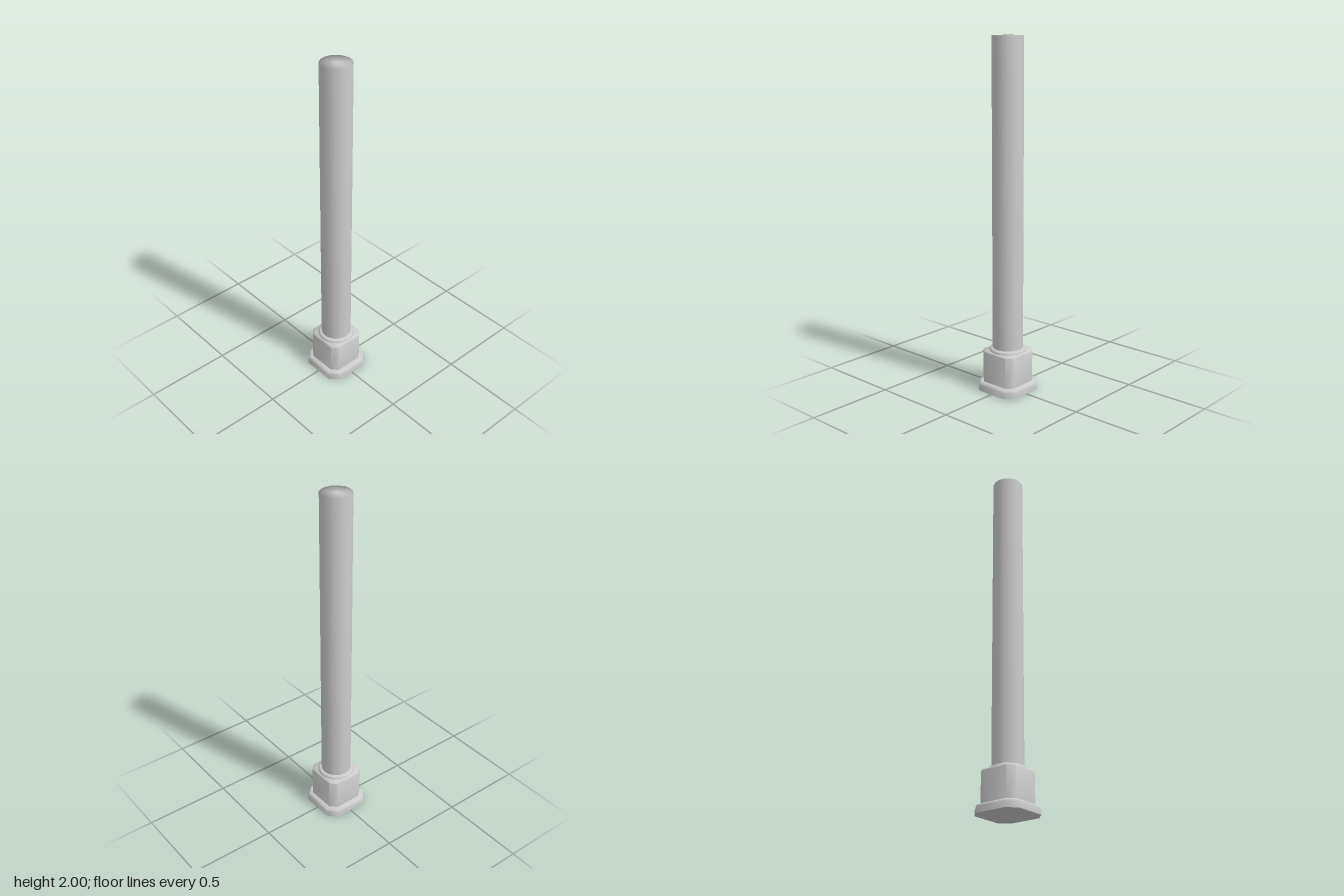
import * as THREE from 'three';
import { toCreasedNormals } from 'three/addons/utils/BufferGeometryUtils.js';

const material = new THREE.MeshStandardMaterial({ color: 0xcccccc });

// Square with cut corners: h = half width, k = half length of the straight edge
const octagon = (h, k) => [[h, k], [k, h], [-k, h], [-h, k], [-h, -k], [-k, -h], [k, -h], [h, -k]];

// Stacks cut-corner squares given as [h, k, y] and closes both ends
function loft(rings) {
  const pos = [], index = [], n = 8;
  for (const [h, k, y] of rings) for (const [x, z] of octagon(h, k)) pos.push(x, y, z);
  const bottom = rings.length * n, top = bottom + 1, last = (rings.length - 1) * n;
  pos.push(0, rings[0][2], 0, 0, rings[rings.length - 1][2], 0);
  for (let i = 0; i < n; i++) {
    const j = (i + 1) % n;
    for (let r = 0; r < last; r += n) {
      index.push(r + i, r + n + i, r + j, r + j, r + n + i, r + n + j);
    }
    index.push(bottom, i, j, top, last + j, last + i);
  }
  const geometry = new THREE.BufferGeometry();
  geometry.setAttribute('position', new THREE.Float32BufferAttribute(pos, 3));
  geometry.setIndex(index);
  return toCreasedNormals(geometry, 0.9);
}

const lathe = (points) =>
  new THREE.LatheGeometry(points.map(([r, y]) => new THREE.Vector2(r, y)), 16);

export function createModel() {
  const group = new THREE.Group();
  const add = (name, geometry) => {
    const mesh = new THREE.Mesh(geometry, material);
    mesh.name = name;
    group.add(mesh);
  };

  // Foot plate with a rounded upper rim
  add('footPlate', loft([
    [0.143, 0.093, 0], [0.143, 0.093, 0.034], [0.139, 0.091, 0.044], [0.128, 0.086, 0.05],
  ]));

  // Block with cut corners and a slightly eased top edge
  add('block', loft([[0.115, 0.081, 0.045], [0.115, 0.081, 0.228], [0.108, 0.077, 0.236]]));

  // Round collar where the shaft leaves the block
  add('collar', lathe([[0.107, 0.22], [0.107, 0.238], [0.103, 0.247], [0.095, 0.251], [0.085, 0.252]]));

  // Long shaft, its flat end shaded softly into the side
  add('shaft', lathe([[0.087, 0.2], [0.087, 2], [0, 2]]));

  return group;
}
